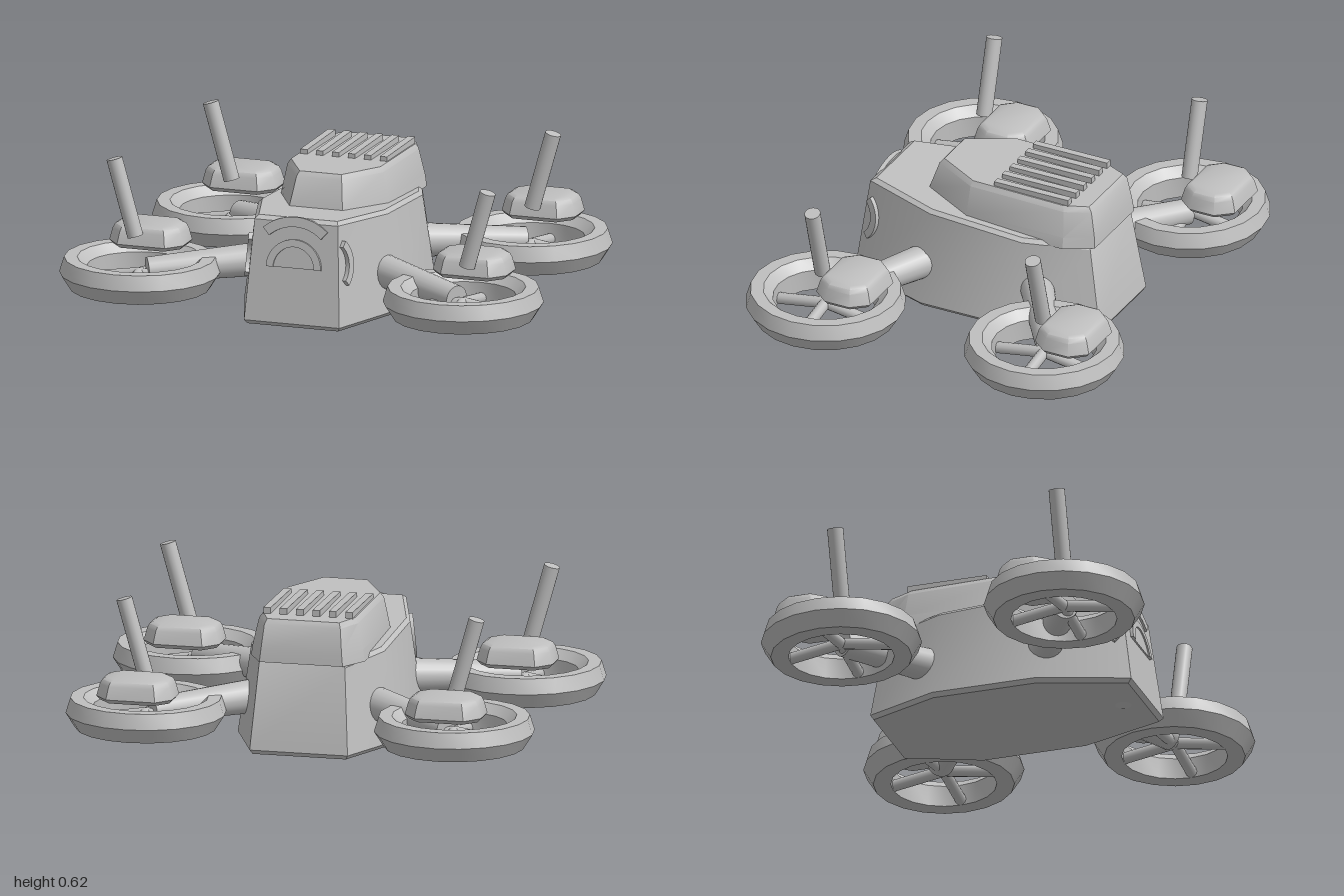
import * as THREE from 'three';
import { toCreasedNormals } from 'three/addons/utils/BufferGeometryUtils.js';

const grey = new THREE.MeshStandardMaterial({ color: 0xbfbfbf });
grey.name = 'light grey';

const V = (x, y, z) => new THREE.Vector3(x, y, z);

function add(parent, name, geometry) {
  const mesh = new THREE.Mesh(geometry, grey);
  mesh.name = name;
  parent.add(mesh);
  return mesh;
}

// Stretched octagon: half width and its z range, then front and rear edges
function octagon(y, w, z1, z0, zf, wf, zr, wr, tilt = 0) {
  return [[wf, zf], [w, z1], [w, z0], [wr, zr], [-wr, zr], [-w, z0], [-w, z1], [-wf, zf]]
    .map(([x, z]) => V(x, y + tilt * z, z));
}

// Capped skin over a stack of rings, bottom to top
function loft(rings, crease) {
  const p = [];
  const tri = (...vs) => vs.forEach((v) => p.push(v.x, v.y, v.z));
  const n = rings[0].length;
  const last = rings[rings.length - 1];
  for (let r = 0; r < rings.length - 1; r++) {
    for (let i = 0; i < n; i++) {
      const j = (i + 1) % n;
      const [a, b] = [rings[r], rings[r + 1]];
      tri(a[i], a[j], b[j]);
      tri(a[i], b[j], b[i]);
    }
  }
  for (let i = 1; i < n - 1; i++) {
    tri(rings[0][0], rings[0][i + 1], rings[0][i]);
    tri(last[0], last[i], last[i + 1]);
  }
  const g = new THREE.BufferGeometry();
  g.setAttribute('position', new THREE.Float32BufferAttribute(p, 3));
  return toCreasedNormals(g, crease);
}

// Cylinder between two points
function rod(parent, name, a, b, ra, rb = ra, sides = 20) {
  const mesh = add(parent, name, new THREE.CylinderGeometry(rb, ra, a.distanceTo(b), sides));
  mesh.position.copy(a).add(b).multiplyScalar(0.5);
  mesh.quaternion.setFromUnitVectors(V(0, 1, 0), b.clone().sub(a).normalize());
}

// Thin extruded arc, centred on its own origin and facing +z
function arc(outer, inner, from, to, depth) {
  const s = new THREE.Shape();
  s.absarc(0, 0, outer, from, to, false);
  if (inner > 0) s.absarc(0, 0, inner, to, from, true);
  return new THREE.ExtrudeGeometry(s, { depth, bevelEnabled: false, curveSegments: 14 });
}

function buildBody() {
  const body = new THREE.Group();
  body.name = 'body';

  add(body, 'hull', loft([
    octagon(0.013, 0.31, 0.23, -0.2, 0.575, 0.19, -0.49, 0.19),
    octagon(0.03, 0.325, 0.235, -0.2, 0.59, 0.2, -0.5, 0.2),
    octagon(0.4, 0.272, 0.22, -0.19, 0.535, 0.175, -0.445, 0.175, 0.06),
    octagon(0.415, 0.257, 0.215, -0.185, 0.513, 0.165, -0.435, 0.165, 0.06),
  ], 0.5));
  add(body, 'hood', loft([
    octagon(0.382, 0.232, 0.085, -0.35, 0.315, 0.115, -0.462, 0.17),
    octagon(0.43, 0.225, 0.08, -0.35, 0.305, 0.112, -0.458, 0.165),
    octagon(0.54, 0.202, 0.075, -0.34, 0.267, 0.095, -0.44, 0.155, 0.02),
    octagon(0.56, 0.188, 0.07, -0.33, 0.25, 0.088, -0.425, 0.147, 0.02),
  ], 0.5));

  // Cooling ribs along the hood
  for (let i = 0; i < 6; i++) {
    add(body, 'ventRib', new THREE.BoxGeometry(0.03, 0.03, 0.33))
      .position.set((i - 2.5) * 0.067, 0.563, -0.185);
  }

  // Camera port and brow on the sloping nose
  const nose = new THREE.Group();
  nose.name = 'nose';
  nose.position.set(0, 0.25, 0.552);
  nose.rotation.x = -0.146;
  body.add(nose);
  add(nose, 'cameraWindow', arc(0.085, 0, 0, Math.PI, 0.014));
  add(nose, 'cameraRim', arc(0.115, 0.085, 0, Math.PI, 0.02));
  add(nose, 'brow', arc(0.205, 0.165, 0.85, Math.PI - 0.85, 0.018));

  // Curved trims on the slanted front corners
  for (const s of [-1, 1]) {
    const mid = s > 0 ? 0 : Math.PI;
    const trim = add(body, 'cornerTrim', arc(0.12, 0.09, mid - 0.85, mid + 0.85, 0.018));
    trim.rotation.set(-0.1, s * 1.26, 0, 'YXZ');
    trim.position.set(s * 0.171, 0.28, 0.595);
  }

  // Small pointed sensor under the nose
  const sensor = add(body, 'bellySensor', new THREE.ConeGeometry(0.05, 0.02, 16));
  sensor.rotation.x = Math.PI;
  sensor.position.set(0, 0.01, 0.49);
  return body;
}

// Rotor unit: arm root is relative to the rotor centre, lean shifts the antenna
function buildRotor(side, root, lean) {
  const rotor = new THREE.Group();
  rotor.name = 'rotor';

  const profile = [[0.21, 0.093], [0.28, 0.093], [0.319, 0.155], [0.3, 0.216],
    [0.248, 0.216], [0.21, 0.18], [0.21, 0.093]].map(([r, y]) => new THREE.Vector2(r, y));
  add(rotor, 'guardRing', toCreasedNormals(new THREE.LatheGeometry(profile, 20), 0.5));

  // Struts sloping from the hub down to the ring
  for (let i = 0; i < 4; i++) {
    const a = i * Math.PI / 2;
    rod(rotor, 'strut', V(0, 0.15, 0),
      V(Math.cos(a) * 0.215, 0.115, Math.sin(a) * 0.215), 0.023, 0.023, 12);
  }

  rod(rotor, 'arm', root, V(-side * 0.03, 0.163, -0.005), 0.07, 0.052);
  rod(rotor, 'antenna', V(side * (0.002 + lean), 0.3, 0.005),
    V(side * (0.09 + lean), 0.61, 0.005), 0.032);

  // Rounded motor pod set behind the hub
  const ring = (y, k) => octagon(y, 0.155 - k, 0.055 - k * 0.4, -0.055 + k * 0.4,
    0.12 - k, 0.1 - k * 0.6, -0.12 + k, 0.1 - k * 0.6);
  add(rotor, 'motorPod', loft([
    ring(0.238, 0.015), ring(0.255, 0), ring(0.305, 0.013), ring(0.322, 0.022), ring(0.33, 0.037),
  ], 0.7)).position.z = -0.13;
  return rotor;
}

export function createModel() {
  const model = new THREE.Group();
  model.name = 'quadcopter';
  model.add(buildBody());

  const layout = [['front', 0.68, 0.473, 0.22, 0.015], ['rear', 0.63, -0.475, -0.22, 0]];
  for (const side of [-1, 1]) {
    for (const [label, x, z, rootZ, lean] of layout) {
      const rotor = buildRotor(side, V(side * (0.21 - x), 0.192, rootZ - z), lean);
      rotor.name = label + (side > 0 ? 'Left' : 'Right') + 'Rotor';
      rotor.position.set(side * x, 0, z);
      model.add(rotor);
    }
  }
  return model;
}
